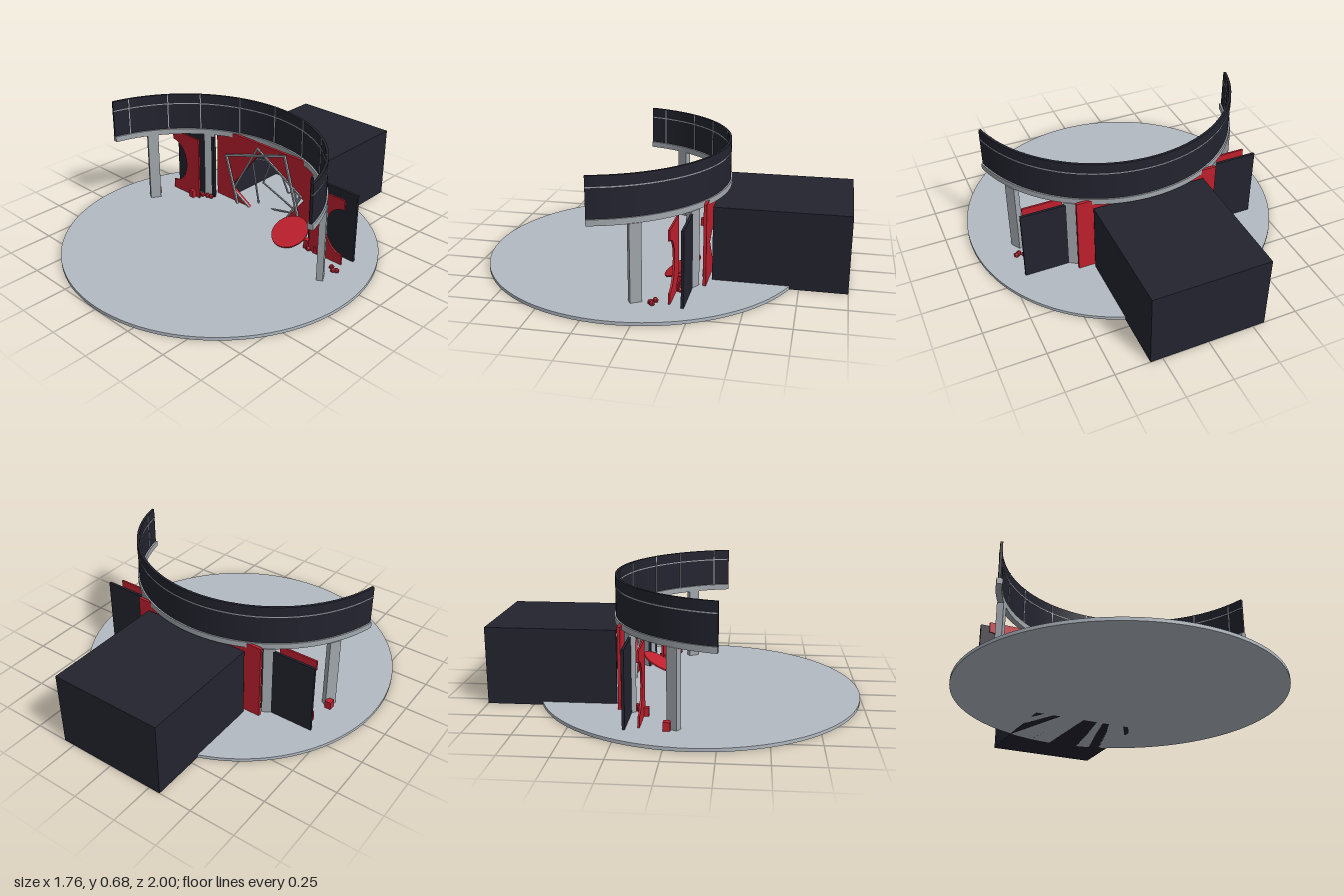
import * as THREE from 'three';

const mat = (name, color, side = THREE.FrontSide) => {
  const m = new THREE.MeshStandardMaterial({ color, side });
  m.name = name;
  return m;
};

export function createModel() {
  const root = new THREE.Group();
  root.name = 'stagePavilion';
  const stone = mat('pale grey floor', 0xb2bac2);
  const metal = mat('grey metal', 0xa2a8ae);
  const red = mat('red', 0xc0202e);
  const dark = mat('dark navy', 0x23232f);
  const FLOOR = 0.018, CZ = 0.415; // floor height, centre of the canopy arc

  const add = (name, geo, material, x = 0, y = 0, z = 0, parent = root) => {
    const m = new THREE.Mesh(geo, material);
    m.name = name;
    m.position.set(x, y, z);
    parent.add(m);
    return m;
  };
  const box = (name, w, h, d, material, x, y, z, parent) =>
    add(name, new THREE.BoxGeometry(w, h, d), material, x, y, z, parent);

  // Round floor
  add('floorDisc', new THREE.CylinderGeometry(0.88, 0.88, FLOOR, 96), stone, 0, FLOOR / 2, 0.12);

  // Hollow back room, open to the front
  const room = new THREE.Group();
  room.name = 'backRoom';
  root.add(room);
  box('roomRoof', 0.63, 0.01, 0.7, dark, 0, 0.415, -0.65, room);
  box('roomBack', 0.63, 0.41, 0.01, dark, 0, 0.205, -0.995, room);
  box('roomBase', 0.61, 0.006, 0.69, dark, 0, 0.003, -0.645, room);
  for (const s of [-1, 1]) box('roomSide', 0.01, 0.41, 0.69, dark, s * 0.31, 0.205, -0.645, room);

  // Curved canopy: bands swept around an arc
  const band = (name, r0, r1, y0, y1, material, half = 1.345) => {
    const s = new THREE.Shape();
    s.absarc(0, -CZ, r1, Math.PI / 2 - half, Math.PI / 2 + half, false);
    s.absarc(0, -CZ, r0, Math.PI / 2 + half, Math.PI / 2 - half, true);
    const g = new THREE.ExtrudeGeometry(s, { depth: y1 - y0, bevelEnabled: false, curveSegments: 64 });
    g.rotateX(-Math.PI / 2);
    return add(name, g, material, 0, y0, 0);
  };
  band('canopyBeam', 0.732, 0.764, 0.433, 0.465, metal);
  band('canopyWall', 0.742, 0.756, 0.465, 0.68, dark);
  band('canopyTrim', 0.74, 0.758, 0.62, 0.626, metal);

  // Places an upright box on the arc, turned along it
  const onArc = (name, angle, r, w, d, y0, y1) => {
    const m = box(name, w, y1 - y0, d, metal,
      Math.sin(angle) * r, (y0 + y1) / 2, CZ - Math.cos(angle) * r);
    m.rotation.y = -angle;
  };
  for (const x of [0, 0.235, 0.447, 0.583, 0.695])
    for (const s of x ? [-1, 1] : [1])
      onArc('canopySeam', s * Math.asin(x / 0.741), 0.741, 0.006, 0.004, 0.465, 0.68);
  for (const s of [-1, 1])
    for (const a of [1.035, 0.578]) onArc('column', s * a, 0.75, 0.062, 0.036, FLOOR, 0.435);

  // Extruded upright panel from an outline
  const panel = (name, pts, depth, z, material) => {
    const s = new THREE.Shape(pts.map(p => new THREE.Vector2(...p)));
    return add(name, new THREE.ExtrudeGeometry(s, { depth, bevelEnabled: false }), material, 0, 0, z);
  };

  // Central red wall with a tilted doorway
  panel('centreWall', [
    [-0.4, FLOOR], [-0.13, FLOOR], [-0.28, 0.11], [-0.05, 0.405], [0.28, 0.216],
    [0.13, FLOOR], [0.4, FLOOR], [0.4, 0.458], [-0.4, 0.458],
  ], 0.016, -0.281, red);

  // Tilted square frames, cut off at the floor
  const frame = (cx, cy, side, deg, z, t) => {
    const g = new THREE.Group();
    g.name = 'tiltedFrame';
    root.add(g);
    const corner = i => {
      const a = THREE.MathUtils.degToRad(deg + 45 + 90 * i);
      return new THREE.Vector2(cx + Math.cos(a) * side * Math.SQRT1_2, cy + Math.sin(a) * side * Math.SQRT1_2);
    };
    for (let i = 0; i < 4; i++) {
      let [p, q] = [corner(i), corner(i + 1)];
      if (p.y < q.y) [p, q] = [q, p];
      if (p.y <= FLOOR) continue;
      if (q.y < FLOOR) q.lerp(p, (FLOOR - q.y) / (p.y - q.y));
      const bar = box('frameBar', p.distanceTo(q) + t * 0.6, t, t, metal, (p.x + q.x) / 2, (p.y + q.y) / 2, z, g);
      bar.rotation.z = Math.atan2(q.y - p.y, q.x - p.x);
    }
  };
  frame(-0.012, 0.155, 0.475, 17.5, -0.25, 0.012);
  frame(0, 0.163, 0.385, -30, -0.262, 0.01);
  [[0.31, 12], [0.265, -20], [0.215, 28], [0.175, -8], [0.14, 20], [0.105, -15]].forEach(([side, deg], i) =>
    frame(0, 0.18 + i * 0.006, side, deg, -0.34 - i * 0.09, 0.008));

  // Side screens: red panel with a half-oval cut from its outer edge, dark panel behind
  for (const s of [-1, 1]) {
    const pts = [[s * 0.65, FLOOR], [s * 0.43, FLOOR], [s * 0.43, 0.408], [s * 0.65, 0.408]];
    for (let i = 0; i <= 20; i++) {
      const a = Math.PI * i / 20;
      pts.push([s * (0.65 - 0.115 * Math.sin(a)), 0.213 + 0.138 * Math.cos(a)]);
    }
    panel('sideScreen', pts, 0.01, -0.145, red);
    box('sideBackPanel', 0.31, 0.402, 0.014, dark, s * 0.525, FLOOR + 0.201, -0.211);
  }

  // Tilted red dish
  const dish = add('tiltedDish', new THREE.CylinderGeometry(0.107, 0.107, 0.008, 40), red, 0.29, 0.073, -0.14);
  dish.rotation.x = 0.5;

  // Small red blocks and stones scattered by the columns
  for (const [x, z, w, h] of [[-0.665, 0, 0.036, 0.045], [-0.475, -0.125, 0.032, 0.045], [0.41, -0.145, 0.028, 0.055],
    [0.45, -0.15, 0.016, 0.06], [0.48, -0.14, 0.026, 0.04], [-0.45, -0.15, 0.024, 0.03]])
    box('redBlock', w, h, w, red, x, FLOOR + h / 2, z);
  for (const [x, z] of [[-0.43, -0.165], [-0.4, -0.175], [-0.375, -0.18], [0.64, -0.07], [0.665, -0.05], [0.68, -0.06],
    [0.435, -0.125], [0.5, -0.165]]) {
    const stoneMesh = add('redStone', new THREE.IcosahedronGeometry(0.016, 0), red, x, FLOOR + 0.014, z);
    stoneMesh.rotation.set(x * 9, z * 20, 0.4);
  }
  return root;
}
